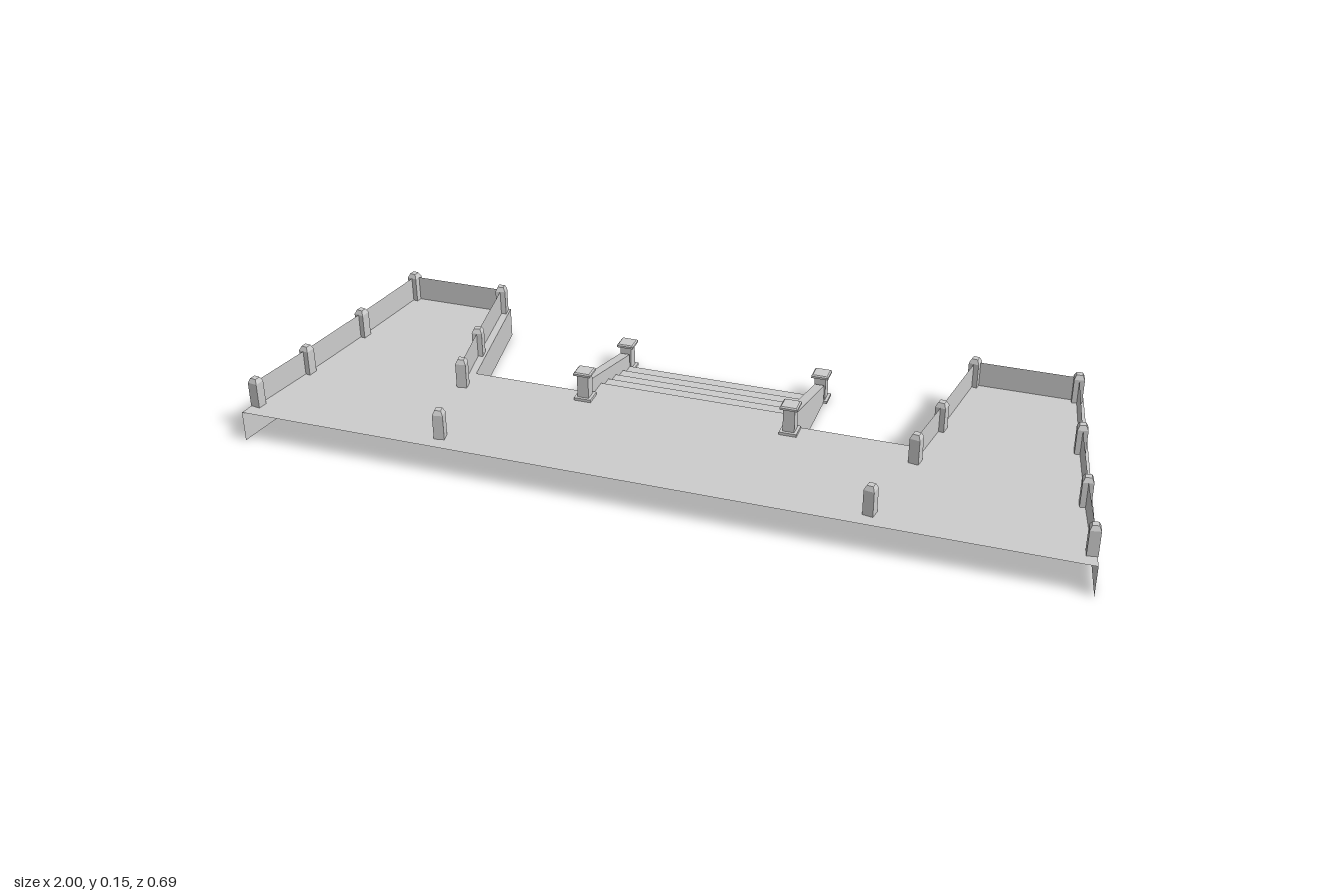
import * as THREE from 'three';

const DECK = 0.077;   // deck height
const RAIL = 0.14;    // parapet top

export function createModel() {
  const model = new THREE.Group();
  const stone = new THREE.MeshStandardMaterial({ color: 0xcccccc, side: THREE.DoubleSide });
  stone.name = 'paleStone';

  const add = (name, geometry, parent = model) => {
    const mesh = new THREE.Mesh(geometry, stone);
    mesh.name = name;
    parent.add(mesh);
    return mesh;
  };

  // Thin vertical sheet following [x, z] points
  const sheet = (points, y0, y1) => {
    const v = [];
    for (let i = 0; i < points.length - 1; i++) {
      const [ax, az] = points[i], [bx, bz] = points[i + 1];
      v.push(ax, y0, az, bx, y0, bz, bx, y1, bz, ax, y0, az, bx, y1, bz, ax, y1, az);
    }
    const g = new THREE.BufferGeometry();
    g.setAttribute('position', new THREE.Float32BufferAttribute(v, 3));
    g.computeVertexNormals();
    return g;
  };

  // Square block tapering from width w0 to w1, standing on y
  const block = (w0, w1, h, y) => {
    const g = new THREE.CylinderGeometry(w1 / Math.SQRT2, w0 / Math.SQRT2, h, 4, 1).toNonIndexed();
    g.rotateY(Math.PI / 4).translate(0, y + h / 2, 0);
    g.computeVertexNormals();
    return g;
  };

  // Deck
  const half = [[1, 0.344], [0.882, -0.344], [0.605, -0.344], [0.55, 0]];
  const outline = [...half, ...half.map(([x, z]) => [-x, z]).reverse()];
  const shape = new THREE.Shape(outline.map(([x, z]) => new THREE.Vector2(x, -z)));
  add('deck', new THREE.ShapeGeometry(shape).rotateX(-Math.PI / 2).translate(0, DECK, 0));

  // Parapet post positions on one wing
  const outer = [[0.981, 0.299], [0.944, 0.12], [0.905, -0.095], [0.868, -0.325]];
  const inner = [[0.62, -0.325], [0.584, -0.095], [0.557, 0.062]];
  const lone = [0.507, 0.298];

  for (const s of [1, -1]) {
    const side = s > 0 ? 'left' : 'right';
    const mirror = (pts) => pts.map(([x, z]) => [s * x, z]);

    // Skirt below the deck, open at the front
    add(side + 'Skirt', sheet(mirror([...half, [0.266, 0]]), 0, DECK));
    // Parapet panels running through the posts
    add(side + 'Parapet', sheet(mirror([...outer, ...inner]), DECK, RAIL));

    // Parapet posts with chamfered tops
    const addPost = ([x, z], turn) => {
      const post = new THREE.Group();
      post.name = side + 'ParapetPost';
      add('postShaft', block(0.025, 0.025, RAIL - DECK, DECK), post);
      add('postTop', block(0.025, 0.015, 0.011, RAIL), post);
      post.position.set(s * x, 0, z);
      post.rotation.y = s * turn;
      model.add(post);
    };
    outer.forEach((p) => addPost(p, 0.17));
    [...inner, lone].forEach((p) => addPost(p, -0.17));

    // Stair cheek wall with sloping top
    const cheek = new THREE.Shape([[0.254, 0], [0.254, 0.05], [-0.01, 0.122], [-0.01, DECK], [0, DECK], [0, 0]]
      .map(([x, y]) => new THREE.Vector2(x, y)));
    add(side + 'StairWall', new THREE.ExtrudeGeometry(cheek, { depth: 0.024, bevelEnabled: false })
      .translate(0, 0, -0.012).rotateY(Math.PI / 2).translate(s * 0.254, 0, 0));

    // Stair pillars with plinth and cap
    for (const [z, y] of [[0.025, DECK], [-0.273, 0]]) {
      const pillar = new THREE.Group();
      pillar.name = side + 'StairPillar';
      add('plinth', block(0.042, 0.042, 0.007, 0), pillar);
      add('shaft', block(0.028, 0.028, 0.058, 0.007), pillar);
      add('capFlare', block(0.03, 0.042, 0.003, 0.064), pillar);
      add('cap', block(0.042, 0.042, 0.005, 0.067), pillar);
      add('capTop', block(0.042, 0.036, 0.003, 0.072), pillar);
      pillar.position.set(s * 0.254, y, z);
      model.add(pillar);
    }
  }

  // Steps: risers and treads as thin sheets
  const count = 5, run = 0.255 / count, rise = DECK / count;
  for (let i = 0; i < count; i++) {
    const z = -0.255 + i * run;
    add('riser', new THREE.PlaneGeometry(0.484, rise).rotateY(Math.PI).translate(0, (i + 0.5) * rise, z));
    add('tread', new THREE.PlaneGeometry(0.484, run).rotateX(-Math.PI / 2).translate(0, (i + 1) * rise, z + run / 2));
  }

  return model;
}
